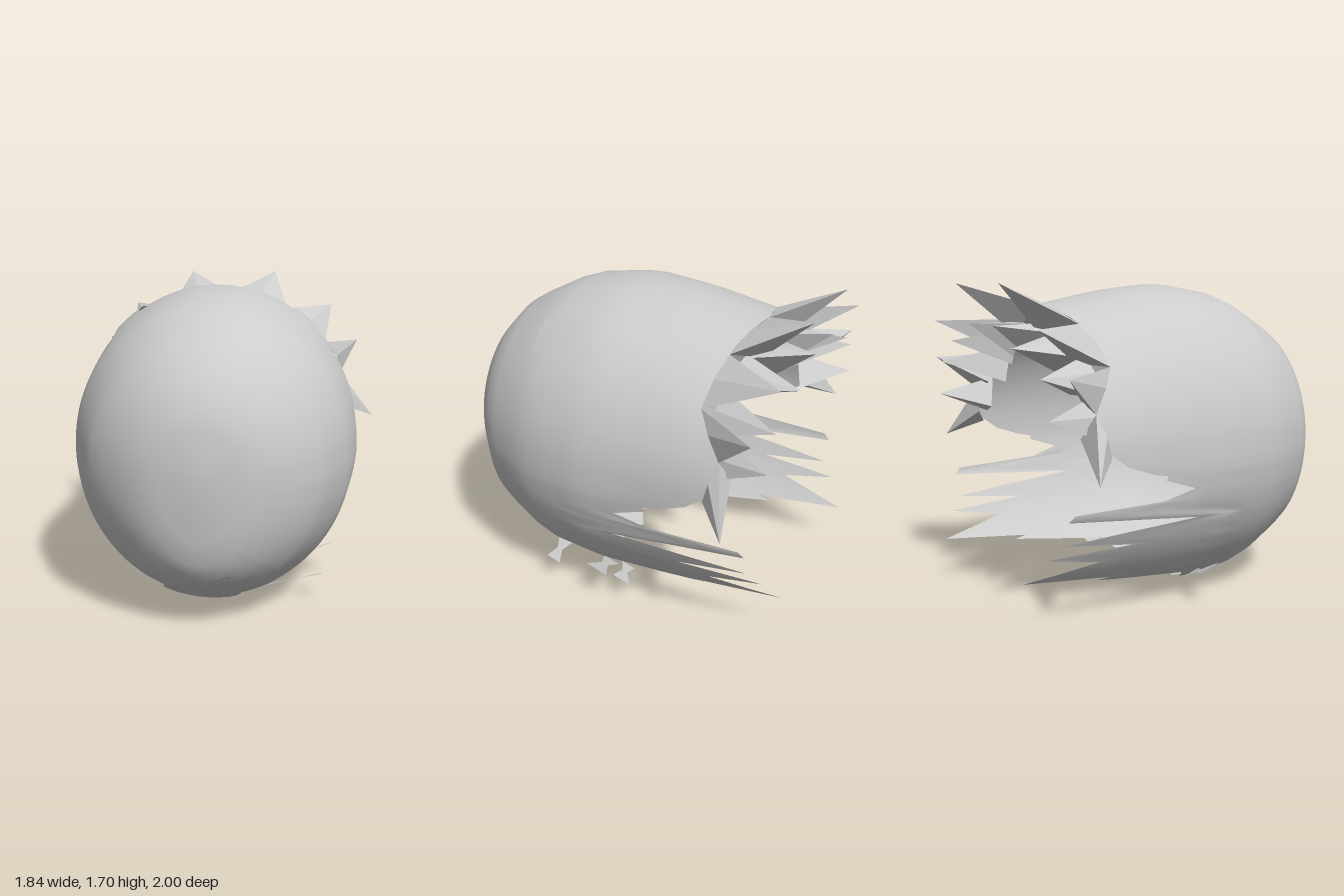
import * as THREE from 'three';
import { mergeVertices } from 'three/addons/utils/BufferGeometryUtils.js';

const material = new THREE.MeshStandardMaterial({ color: 0xcccccc, side: THREE.DoubleSide });
const flatMaterial = new THREE.MeshStandardMaterial({ color: 0xcccccc, side: THREE.DoubleSide, flatShading: true });
const CY = 0.85;

// Hair volume from crown (z = 1) to ends: z, half width, top y, bottom y
const PROFILE = [
  [1, 0, 0.85, 0.85], [0.985, 0.18, 1.07, 0.56], [0.96, 0.28, 1.17, 0.42], [0.89, 0.42, 1.32, 0.29],
  [0.73, 0.6, 1.49, 0.17], [0.42, 0.745, 1.655, 0.03], [0.08, 0.785, 1.71, 0],
  [-0.25, 0.76, 1.675, 0], [-0.62, 0.75, 1.6, 0.02], [-1, 0.72, 1.55, 0.04],
];

// Hair line: [angle around z in degrees, z where the hair ends]
const EDGE = [
  [-90, 0.2], [-80, 0.14], [-72, 0.2], [-64, 0.04], [-57, 0], [-53, -0.35], [-51, -0.57], [-49.5, -0.5],
  [-46.5, -1], [-38, -0.62], [-34, -0.92], [-31, -0.46], [-28, -0.85], [-25, -0.5], [-22.5, -0.1],
  [-18.5, -0.85], [-16, -0.82], [-14.5, -0.33], [-11, -0.15], [-7, -0.33], [-10 + 4.5, -0.32], [-4.5, -0.4],
  [-1, -0.55], [5, -0.66], [19.5, -0.7], [37, -0.56], [61, -0.6], [90, -0.67],
];

function lookup(table, key, column, from = 0) {
  const sign = Math.sign(table[1][from] - table[0][from]);
  for (let i = 1; i < table.length; i++) {
    const a = table[i - 1], b = table[i];
    if ((key - b[from]) * sign <= 0) {
      return a[column] + (b[column] - a[column]) * (key - a[from]) / (b[from] - a[from]);
    }
  }
  return table[table.length - 1][column];
}

// Point on the hair volume at an angle and depth
function surface(degrees, z, scale = 1) {
  const a = THREE.MathUtils.degToRad(degrees), s = Math.sin(a);
  const height = s > 0 ? lookup(PROFILE, z, 2) - CY : CY - lookup(PROFILE, z, 3);
  return new THREE.Vector3(Math.cos(a) * lookup(PROFILE, z, 1) * scale, CY + s * height * scale, z);
}

// Grid of columns, each an array of points
function sheet(columns, name) {
  const rows = columns[0].length, index = [];
  for (let i = 0; i < columns.length - 1; i++) {
    for (let j = 0; j < rows - 1; j++) {
      const a = i * rows + j, c = a + rows;
      index.push(a, a + 1, c, a + 1, c + 1, c);
    }
  }
  let geometry = new THREE.BufferGeometry().setFromPoints(columns.flat());
  geometry.setIndex(index);
  geometry = mergeVertices(geometry, 1e-4);
  geometry.computeVertexNormals();
  const mesh = new THREE.Mesh(geometry, material);
  mesh.name = name;
  return mesh;
}

function facets(points, index, name) {
  const geometry = new THREE.BufferGeometry().setFromPoints(index.map(i => points[i]));
  geometry.computeVertexNormals();
  const mesh = new THREE.Mesh(geometry, flatMaterial);
  mesh.name = name;
  return mesh;
}

// Main shell: a shared dome, then columns running to the hair line
function hairShell() {
  const angles = [];
  EDGE.forEach(([a], i) => {
    if (i === EDGE.length - 1) return angles.push(a);
    const n = Math.ceil((EDGE[i + 1][0] - a) / 6);
    for (let k = 0; k < n; k++) angles.push(a + (EDGE[i + 1][0] - a) * k / n);
  });
  const all = [...angles, ...angles.slice(0, -1).reverse().map(a => 180 - a)];
  const columns = all.map(a => {
    const end = lookup(EDGE, a > 90 ? 180 - a : a, 1), points = [];
    for (let j = 0; j <= 12; j++) points.push(surface(a, 1 - 0.75 * (j / 12) ** 2));
    for (let j = 1; j <= 8; j++) points.push(surface(a, 0.25 + (end - 0.25) * j / 8));
    return points;
  });
  return sheet(columns, 'hairShell');
}

// Four-sided pointed lock growing from the hair line
function spike(a, b, tip, depth, name) {
  const outer = a.clone().lerp(b, 0.5);
  outer.x *= 1.04;
  outer.y += (outer.y - CY) * 0.04;
  const inner = a.clone().lerp(b, 0.5);
  inner.x *= 1 - depth;
  inner.y = CY + (inner.y - CY) * (1 - depth);
  inner.z -= 0.06;
  return facets([a, outer, b, inner, tip], [0, 1, 4, 1, 2, 4, 2, 3, 4, 3, 0, 4], name);
}

// Lock lying on the shell, tapering to a point at its end
function overlay(a0, a1, aTip, z0, z1, scale, name) {
  const columns = [];
  for (let i = 0; i <= 6; i++) {
    const points = [];
    for (let j = 0; j <= 8; j++) {
      const t = j / 8, base = a0 + (a1 - a0) * i / 6;
      points.push(surface(base + (aTip - base) * t * t, z0 + (z1 - z0) * t, 1 + (scale - 1) * Math.sin(Math.PI * t)));
    }
    columns.push(points);
  }
  return sheet(columns, name);
}

// Thin loose wisp, pinched in the middle
function wisp(from, to, width) {
  const a = new THREE.Vector3(...from), b = new THREE.Vector3(...to);
  const mid = a.clone().lerp(b, 0.55), points = [];
  [[a, width], [mid, width * 0.3], [b, width * 0.8]].forEach(([p, w]) => {
    points.push(p.clone().add(new THREE.Vector3(0, w * 0.35, w)), p.clone().add(new THREE.Vector3(0, -w * 0.35, -w)));
  });
  return facets(points, [0, 1, 2, 1, 3, 2, 2, 3, 4, 3, 5, 4], 'looseWisp');
}

export function createModel() {
  const group = new THREE.Group();
  group.name = 'hair';
  group.add(hairShell());

  // Outer row: start angle, start z, end angle, end z, tip
  const outerRow = [
    [90, -0.67, 61, -0.6, [0.27, 1.71, -0.99]],
    [61, -0.6, 37, -0.56, [0.64, 1.5, -0.97]],
    [37, -0.56, 19.5, -0.7, [0.81, 1.28, -0.9]],
    [19.5, -0.7, 3, -0.64, [0.92, 0.8, -0.81]],
  ];
  // Inner row, set below the outer one
  const innerRow = [
    [88, -0.7, 68, -0.66, [0.15, 1.5, -0.97]],
    [70, -0.64, 48, -0.6, [0.38, 1.4, -0.98]],
    [50, -0.6, 28, -0.6, [0.62, 1.27, -0.95]],
    [29, -0.65, 10, -0.66, [0.68, 1.08, -0.94]],
  ];
  for (const side of [1, -1]) {
    const place = (a, z, scale) => {
      const p = surface(a, z, scale);
      p.x *= side;
      return p;
    };
    const addRow = (row, scale, depth, name) => row.forEach(([a, za, b, zb, t]) => {
      const tip = new THREE.Vector3(t[0] * side, t[1], t[2]);
      group.add(spike(place(a, za, scale), place(b, zb, scale), tip, depth, name));
    });
    addRow(outerRow, 1, 0.17, 'outerSpike');
    addRow(innerRow, 0.88, 0.25, 'innerSpike');

    // Raised lock along the upper side
    const lock = side > 0 ? [44, 58, 56] : [136, 122, 124];
    group.add(overlay(Math.min(lock[0], lock[1]), Math.max(lock[0], lock[1]), lock[2], 0.45, -0.42, 1.015, 'sideLock'));
    group.add(wisp([0.66 * side, 0.22, 0.02], [0.42 * side, 0.12, 0.06], 0.06));
  }

  // Fringe swept across from a parting, and loose wisps beside it
  group.add(overlay(-112, -70, -100, 0.9, 0.2, 1.02, 'fringe'));
  group.add(wisp([0.32, 0.11, 0.42], [0.6, 0.15, 0.34], 0.05));
  group.add(wisp([0.6, 0.15, -0.1], [0.42, 0.12, -0.05], 0.05));
  return group;
}
